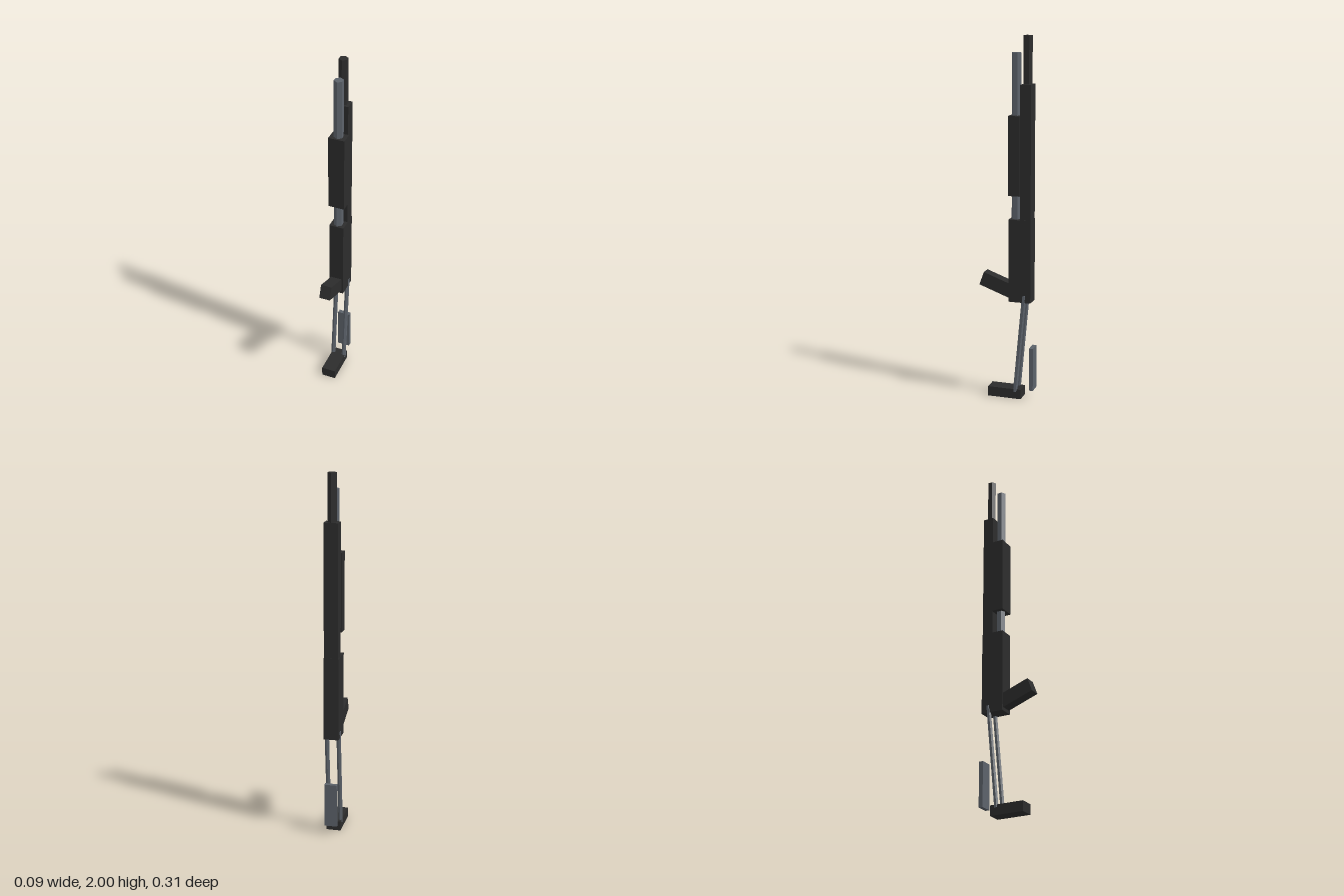
import * as THREE from 'three';

export function createModel() {
  const model = new THREE.Group();
  const mat = (name, color) => {
    const m = new THREE.MeshStandardMaterial({ color, flatShading: true });
    m.name = name;
    return m;
  };
  const black = mat('matte black', 0x2c2c2c);
  const steel = mat('grey steel', 0x5c626a);

  const add = (name, geometry, material) => {
    const mesh = new THREE.Mesh(geometry, material);
    mesh.name = name;
    model.add(mesh);
    return mesh;
  };
  // Box centred on x, given its half width and its y and z limits
  const box = (name, hw, y0, y1, z0, z1, material) => {
    const mesh = add(name, new THREE.BoxGeometry(hw * 2, y1 - y0, z1 - z0), material);
    mesh.position.set(0, (y0 + y1) / 2, (z0 + z1) / 2);
    return mesh;
  };
  // Six-sided rod between two points
  const rod = (name, a, b, r, material) => {
    const dir = b.clone().sub(a);
    const mesh = add(name, new THREE.CylinderGeometry(r, r, dir.length(), 6), material);
    mesh.position.copy(a).add(b).multiplyScalar(0.5);
    mesh.quaternion.setFromUnitVectors(new THREE.Vector3(0, 1, 0), dir.normalize());
    return mesh;
  };
  const v = (x, y, z) => new THREE.Vector3(x, y, z);

  // Body
  box('receiver', 0.041, 0.56, 1.02, -0.141, -0.016, black);
  box('barrelShroud', 0.039, 1.02, 1.745, -0.14, -0.08, black);
  box('foreEnd', 0.045, 1.15, 1.58, -0.08, -0.014, black);

  // Tubes
  rod('barrel', v(0, 1.7, -0.111), v(0, 2, -0.111), 0.025, black);
  rod('lowerTube', v(0, 1.0, -0.048), v(0, 1.91, -0.048), 0.026, steel);

  // Grip, sloping up and forward out of the receiver
  const tilt = THREE.MathUtils.degToRad(20);
  const gripLength = 0.19;
  const grip = add('grip', new THREE.BoxGeometry(0.062, 0.077, gripLength), black);
  grip.rotation.x = -tilt;
  grip.position.set(0, 0.677 - Math.sin(tilt) * gripLength / 2, 0.1415 - Math.cos(tilt) * gripLength / 2);

  // Folding stock: two struts, a foot and a back plate
  for (const [side, name] of [[1, 'leftStrut'], [-1, 'rightStrut']]) {
    rod(name, v(side * 0.033, 0.04, -0.053), v(side * 0.033, 0.6, -0.104), 0.0125, steel);
  }
  box('buttPad', 0.04, 0, 0.055, -0.087, 0.103, black);
  box('backPlate', 0.035, 0.055, 0.30, -0.156, -0.133, steel);

  return model;
}
